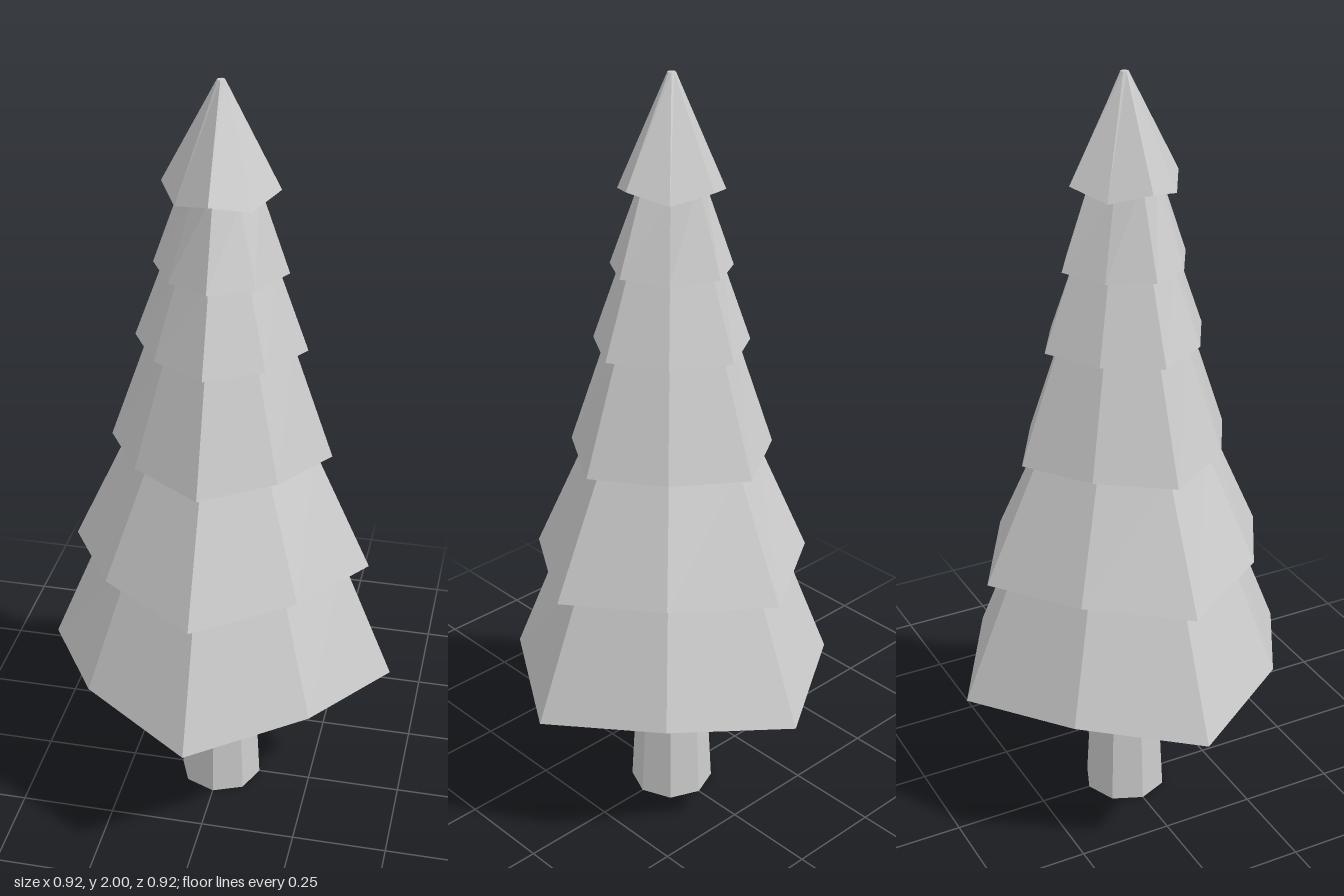
import * as THREE from 'three';

const SIDES = 8;

// Faceted surface through stacked rings of eight points, listed from the bottom up.
// Each ring: [radius, height at the axis points, height at the diagonal points, diagonal radius factor]
function ringSurface(rings) {
  const point = ([r, yAxis, yDiag, k], i) => {
    const a = (i / SIDES) * Math.PI * 2;
    const diag = i % 2 === 1;
    const rr = diag ? r * k : r;
    return [Math.sin(a) * rr, diag ? yDiag : yAxis, Math.cos(a) * rr];
  };
  const pos = [];
  for (let j = 0; j < rings.length - 1; j++) {
    const [low, high] = [rings[j], rings[j + 1]];
    for (let i = 0; i < SIDES; i++) {
      const a = point(low, i), b = point(low, i + 1);
      const c = point(high, i + 1), d = point(high, i);
      if (low[0] > 0) pos.push(...a, ...b, ...c);
      if (high[0] > 0) pos.push(...a, ...c, ...d);
    }
  }
  const geo = new THREE.BufferGeometry();
  geo.setAttribute('position', new THREE.Float32BufferAttribute(pos, 3));
  geo.computeVertexNormals();
  return geo;
}

export function createModel() {
  const tree = new THREE.Group();
  tree.name = 'pineTree';
  const material = new THREE.MeshStandardMaterial({ color: 0xcccccc, flatShading: true });
  const add = (name, rings) => {
    const mesh = new THREE.Mesh(ringSurface(rings), material);
    mesh.name = name;
    tree.add(mesh);
  };

  // Trunk, slightly waisted
  add('trunk', [
    [0, 0, 0, 1],
    [0.11, 0, 0, 1],
    [0.095, 0.29, 0.29, 1],
    [0.104, 0.46, 0.46, 1],
    [0, 0.46, 0.46, 1],
  ]);

  // Branch tiers: skirt radius, skirt height at axis and diagonal points, radius at the top
  const tiers = [
    [0.46, 0.40, 0.44, 0.32],
    [0.39, 0.73, 0.755, 0.24],
    [0.285, 1.045, 1.055, 0.18],
    [0.217, 1.335, 1.335, 0.14],
    [0.168, 1.535, 1.53, 0.09],
    [0.145, 1.745, 1.72, 0.01],
  ];
  const K = 0.89;
  tiers.forEach(([r, yAxis, yDiag, topR], i) => {
    const below = tiers[i - 1];
    const above = tiers[i + 1];
    // Underside starts at the top of the tier below
    const inner = below
      ? [below[3], yAxis + 0.012, yDiag + 0.004, K]
      : [0, 0.45, 0.45, K];
    const top = above
      ? [topR, above[1] + 0.012, above[2] + 0.004, K]
      : [topR, 2, 2, 1];
    const rings = [inner, [r, yAxis, yDiag, K], top];
    if (!above) rings.push([0, 2, 2, 1]);
    add('branchTier' + (i + 1), rings);
  });

  return tree;
}
